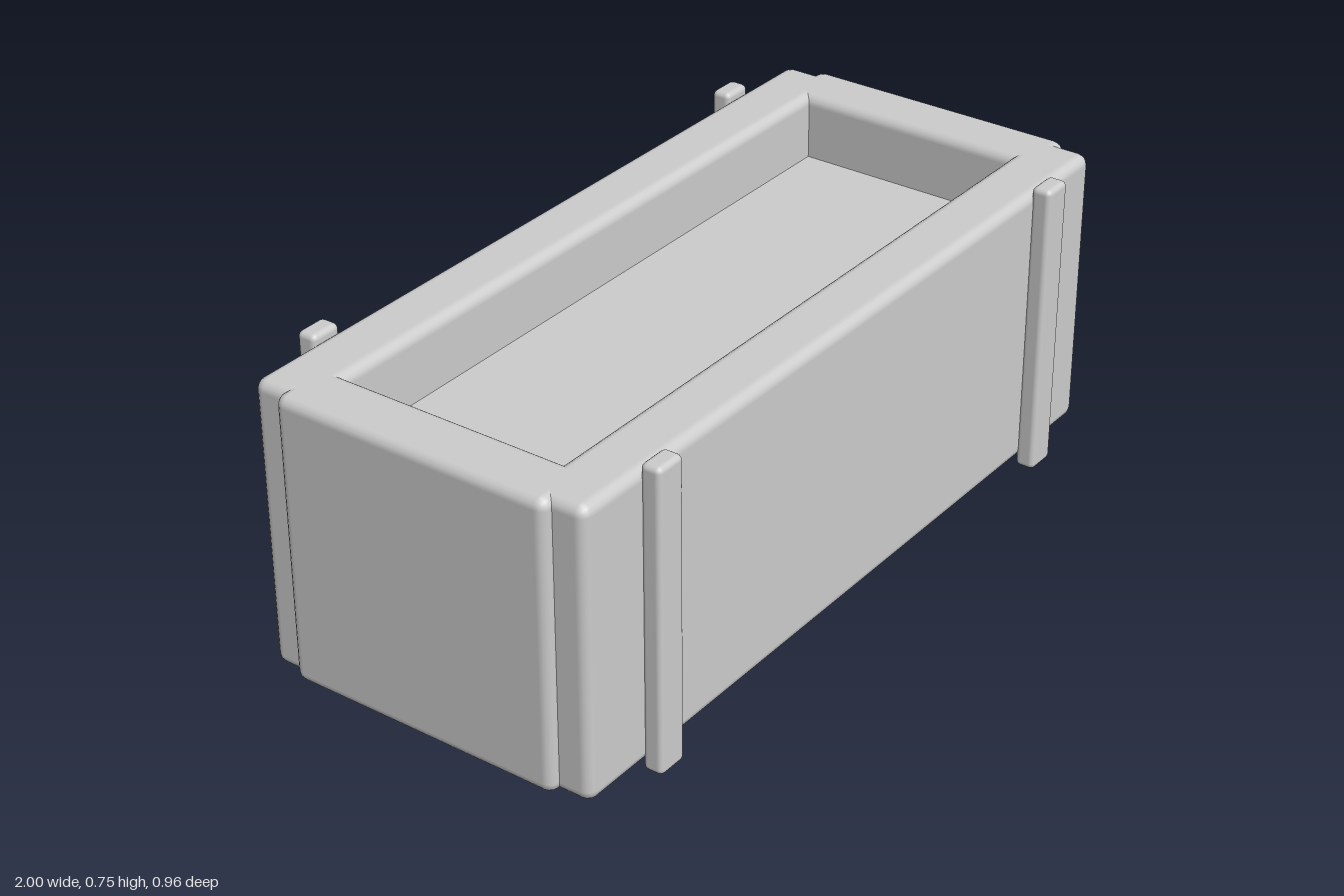
import * as THREE from 'three';
import { RoundedBoxGeometry } from 'three/addons/geometries/RoundedBoxGeometry.js';

export function createModel() {
  const group = new THREE.Group();
  group.name = 'planterBox';
  const grey = new THREE.MeshStandardMaterial({ color: 0xcccccc });
  grey.name = 'plain grey';

  // Soft-edged block given by its extents on each axis
  const block = (name, [x0, x1], [y0, y1], [z0, z1], radius) => {
    const size = [x1 - x0, y1 - y0, z1 - z0];
    const geometry = radius
      ? new RoundedBoxGeometry(...size, 2, radius)
      : new THREE.BoxGeometry(...size);
    const mesh = new THREE.Mesh(geometry, grey);
    mesh.name = name;
    mesh.position.set((x0 + x1) / 2, (y0 + y1) / 2, (z0 + z1) / 2);
    group.add(mesh);
  };
  // Same span, mirrored when side is -1
  const span = (side, a, b) => (side > 0 ? [a, b] : [-b, -a]);

  const height = [0.02, 0.735];
  for (const s of [1, -1]) {
    // Long walls and the narrower end walls that stand proud of them
    block(s > 0 ? 'frontWall' : 'backWall', [-0.975, 0.975], height, span(s, 0.285, 0.435), 0.027);
    block(s > 0 ? 'leftEndWall' : 'rightEndWall', span(s, 0.85, 1), height, [-0.355, 0.355], 0.027);

    // Upright battens on the long walls
    for (const x of [-0.75, 0.75]) {
      block(`${s > 0 ? 'front' : 'back'}${x > 0 ? 'Left' : 'Right'}Batten`,
        [x - 0.041, x + 0.041], [0, 0.75], span(s, 0.428, 0.479), 0.014);
    }
  }

  // Filling, sunk below the rim and raised above the underside
  block('filling', [-0.86, 0.86], [0.1, 0.57], [-0.295, 0.295], 0);

  return group;
}
